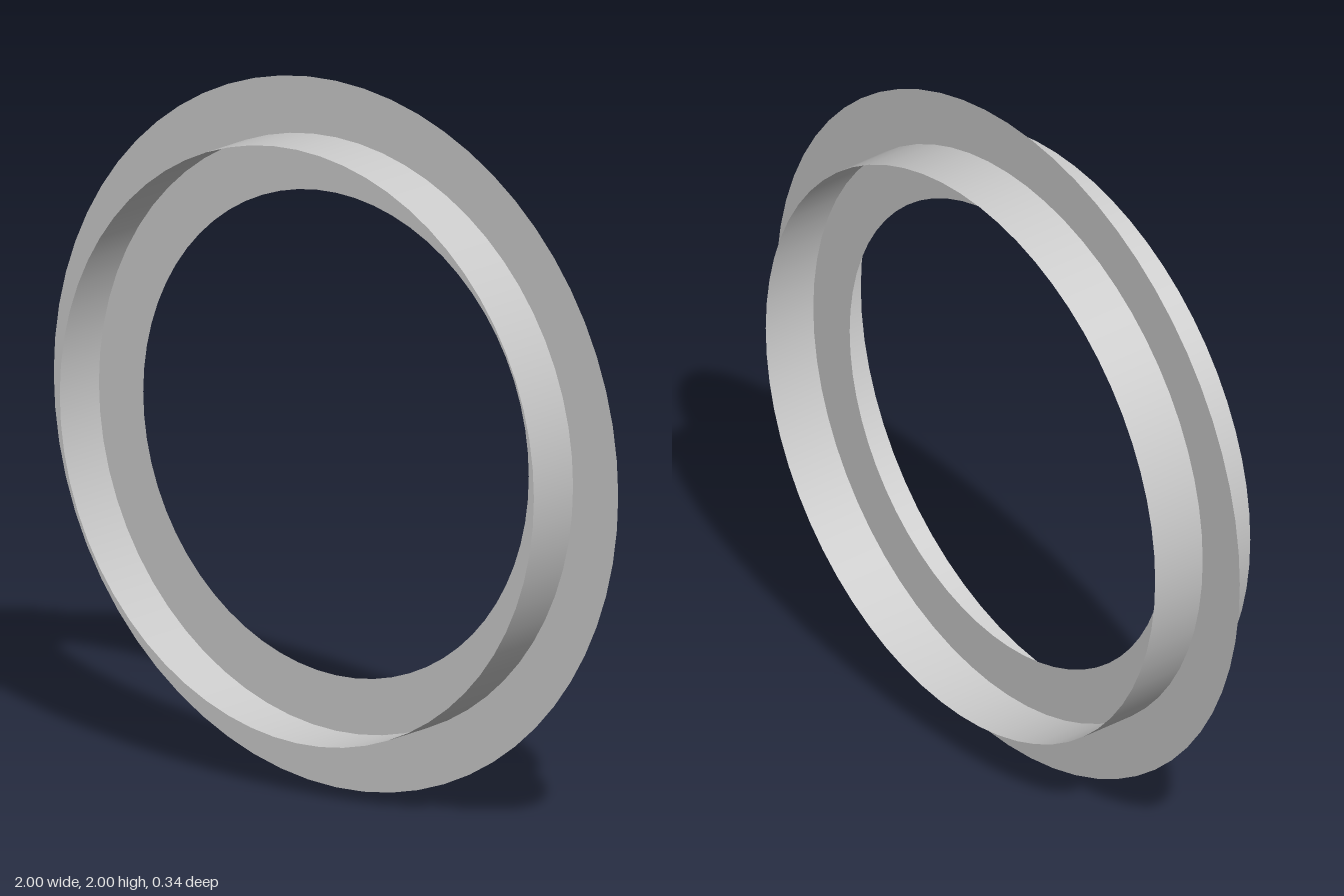
import * as THREE from 'three';

const SEGMENTS = 64;

export function createModel() {
  const group = new THREE.Group();
  group.name = 'crossedRings';
  const material = new THREE.MeshStandardMaterial({ color: 0xcccccc, side: THREE.DoubleSide });

  // Both sheets share one centre and are paper thin
  const addSheet = (name, geometry) => {
    const mesh = new THREE.Mesh(geometry, material);
    mesh.name = name;
    mesh.position.y = 1;
    group.add(mesh);
  };

  // Flat upright ring in the middle plane
  addSheet('flatRing', new THREE.RingGeometry(0.683, 1, SEGMENTS));

  // Open band crossing the flat ring halfway across its width
  const band = new THREE.CylinderGeometry(0.84, 0.84, 0.335, SEGMENTS, 1, true);
  addSheet('band', band.rotateX(Math.PI / 2));

  return group;
}
